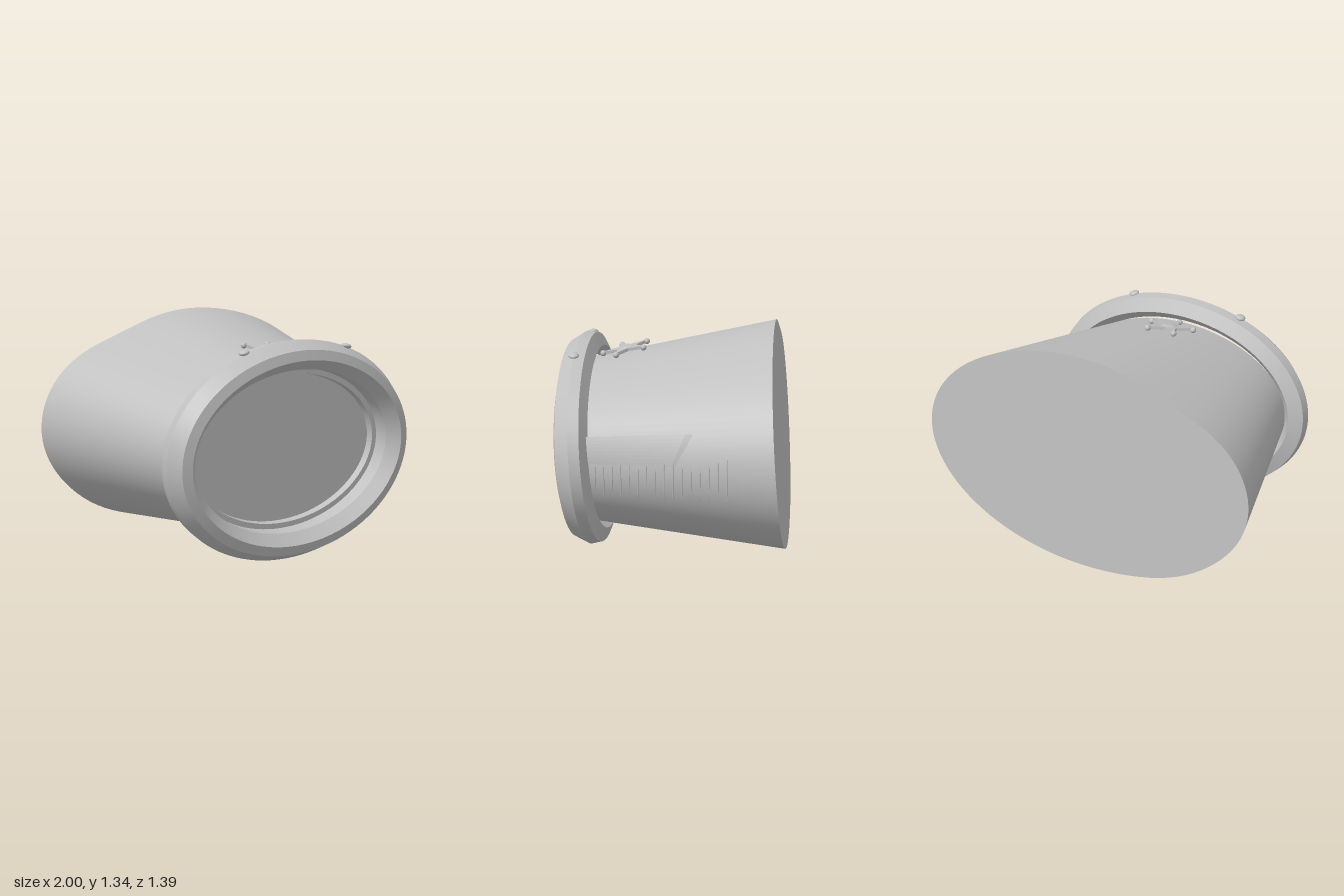
import * as THREE from 'three';
import { mergeGeometries } from 'three/addons/utils/BufferGeometryUtils.js';

const SEG = 96;
const V = (x, y, z) => new THREE.Vector3(x, y, z);

// Smooth band between two closed rows; each row is a function of the angle t.
function band(rowA, rowB) {
  const pos = [], idx = [];
  for (const row of [rowA, rowB])
    for (let i = 0; i < SEG; i++) pos.push(...row((i / SEG) * Math.PI * 2).toArray());
  for (let i = 0; i < SEG; i++) {
    const j = (i + 1) % SEG;
    idx.push(i, i + SEG, j, j, i + SEG, j + SEG);
  }
  return surface(pos, idx);
}

function surface(pos, idx) {
  const g = new THREE.BufferGeometry();
  g.setAttribute('position', new THREE.Float32BufferAttribute(pos, 3));
  g.setIndex(idx);
  g.computeVertexNormals();
  return g;
}

// Rim: tilted ellipse, d = offset outward, w = offset along the rim's axis.
const axis = V(-0.073, -0.073, 1).normalize();
const rimCentre = V(-0.155, 0.622, 0.528);
function rim(t, d, w) {
  const n = V(Math.cos(t) / 0.825, Math.sin(t) / 0.618, 0).normalize();
  const x = 0.825 * Math.cos(t) + n.x * d, y = 0.618 * Math.sin(t) + n.y * d;
  return V(x, y, 0.073 * (x + y)).add(rimCentre).addScaledVector(axis, w);
}

// Body wall: ruled between a small front ellipse and a large tilted back one.
const bump = (t, centre, width) => Math.exp(-(((t - centre) / width) ** 2));
function body(t, s, off = 0) {
  const c = Math.cos(t), n = Math.sin(t);
  const fx = (0.705 + off) * c - 0.142, fy = (0.468 + off) * n + 0.62;
  const front = V(fx, fy, 0.5 + 0.073 * (fx + 0.142) + 0.073 * (fy - 0.62));
  // the back outline is flattened at one upper corner and fuller below it
  const k = 1 - 0.06 * bump(t, 2.12, 0.33) + 0.015 * bump(t, 4.1, 0.3);
  const bx = (1 + off) * c * k, by = (0.645 + off) * n * k + 0.705;
  const back = V(bx, by, -0.597 + 0.088 * bx + 0.08 * (by - 0.705));
  return front.lerp(back, s);
}

export function createModel() {
  const group = new THREE.Group();
  const grey = new THREE.MeshStandardMaterial({ color: 0xc0c0c0 });
  grey.name = 'grey';
  const greySheet = new THREE.MeshStandardMaterial({ color: 0xc0c0c0, side: THREE.DoubleSide });
  greySheet.name = 'grey';
  const add = (name, geo, parent = group, mat = grey) => {
    const m = new THREE.Mesh(geo, mat);
    m.name = name;
    parent.add(m);
    return m;
  };

  // Flared body and its flat back
  add('body', band(t => body(t, 0), t => body(t, 1)));
  add('backFace', band(t => body(t, 1), () => V(0, 0.705, -0.597)));

  // Faceted rim, swept from the stepped recess round to the hollow back
  const profile = [[-0.2, -0.085], [-0.195, -0.045], [-0.165, -0.045], [-0.16, 0.035], [-0.1, 0.1],
    [-0.045, 0.085], [0, 0.005], [-0.01, -0.055], [-0.09, -0.09], [-0.14, -0.03]];
  const bands = [];
  for (let i = 0; i + 1 < profile.length; i++)
    bands.push(band(t => rim(t, ...profile[i]), t => rim(t, ...profile[i + 1])));
  add('rim', mergeGeometries(bands));
  add('frontPane', band(() => rimCentre.clone().addScaledVector(axis, -0.085), t => rim(t, -0.2, -0.085)));

  // Two rivets on top of the rim
  for (const [x, y, z] of [[-0.51, 1.188, 0.54], [0.19, 1.186, 0.6]]) {
    const rivet = add('rivet', new THREE.SphereGeometry(1, 20, 12));
    rivet.scale.set(0.03, 0.015, 0.03);
    rivet.position.set(x, y, z);
    rivet.rotation.z = x < -0.16 ? 0.25 : -0.25;
  }

  // Star badge with ball tips and a low round boss
  const badge = new THREE.Group();
  badge.name = 'starBadge';
  const star = new THREE.Shape();
  for (let i = 0; i < 10; i++) {
    const a = -Math.PI / 2 + (i * Math.PI) / 5 - 0.085, r = i % 2 ? 0.06 : 0.142;
    star[i ? 'lineTo' : 'moveTo'](r * Math.cos(a), r * Math.sin(a));
    if (i % 2 === 0)
      add('starTip', new THREE.SphereGeometry(0.018, 14, 10), badge)
        .position.set(r * Math.cos(a), r * Math.sin(a), 0.008);
  }
  star.closePath();
  add('star', new THREE.ExtrudeGeometry(star, { depth: 0.018, bevelEnabled: false }), badge);
  const boss = add('starBoss', new THREE.SphereGeometry(1, 28, 12), badge);
  boss.scale.set(0.048, 0.048, 0.01);
  boss.position.z = 0.016;
  badge.position.set(-0.148, 1.15, 0.318);
  badge.rotation.x = -(Math.PI / 2 - 0.235);
  group.add(badge);

  // Flat side panel: flush along its lower edge, standing proud at its upper edge
  const pos = [], idx = [], nu = 12, nv = 9;
  for (let i = 0; i <= nu; i++)
    for (let j = 0; j <= nv; j++) {
      const u = i / nu, v = Math.min(j / (nv - 1), 1);
      const off = i === nu || j === nv ? -0.005 : 0.003 + 0.022 * v * (1 - 0.7 * u);
      pos.push(...body(0.08 + 0.3 * v, u * (0.53 + 0.09 * v), off).toArray());
    }
  for (let i = 0; i < nu; i++)
    for (let j = 0; j < nv; j++) {
      const a = i * (nv + 1) + j, c = a + nv + 1;
      idx.push(a, c, a + 1, a + 1, c, c + 1);
    }
  add('sidePanel', surface(pos, idx).toNonIndexed(), group, greySheet).geometry.computeVertexNormals();

  // Row of thin vent fins on the left flank, edge-on to the side
  for (let i = 0; i < 16; i++) {
    const f = i / 15, z = 0.46 - 0.718 * f;
    const fin = add('ventFin', new THREE.SphereGeometry(1, 12, 16));
    fin.position.copy(body(-0.1 + 0.06 * f, (0.55 - z) / 1.06));
    fin.scale.set(0.016, 0.09 + 0.03 * f, 0.003);
  }
  return group;
}
